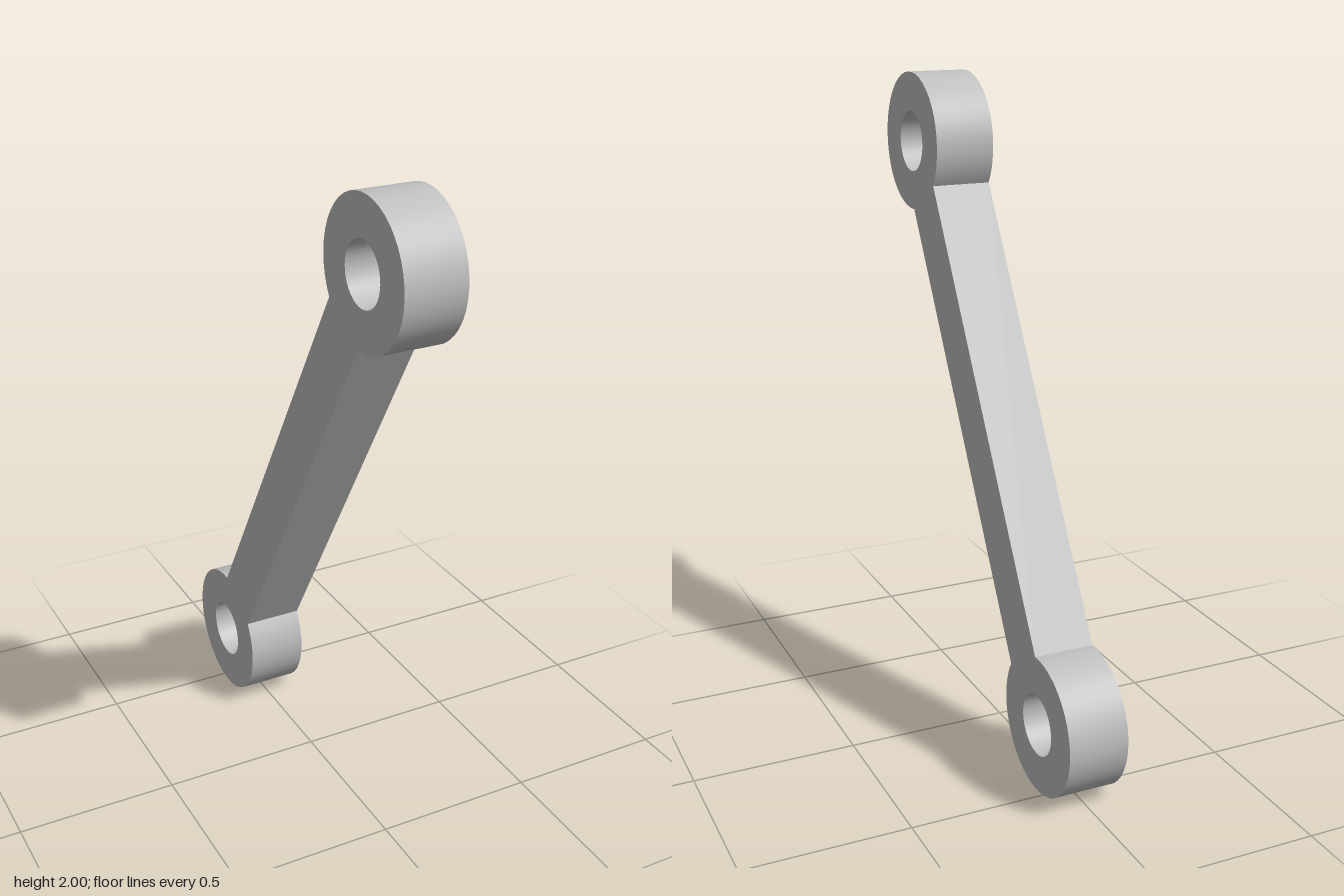
import * as THREE from 'three';
import { toCreasedNormals } from 'three/addons/utils/BufferGeometryUtils.js';

const EYE_R = 0.212;      // outer radius of the end eyes
const HOLE_R = 0.093;     // bore radius
const BAR_HALF = 0.094;   // half width of the bar
const DEPTH = 0.185;      // thickness along x
const RISE = 0.788;       // eye centre above / below the middle
const REACH = 0.463;      // eye centre in front of / behind the middle

export function createModel() {
  const group = new THREE.Group();
  group.name = 'linkRod';

  const steel = new THREE.MeshStandardMaterial({ color: 0xc0c0c0 });
  steel.name = 'light grey metal';

  // Outline of an upright link: two round eyes joined by a straight bar
  const half = Math.hypot(RISE, REACH);
  const neck = Math.asin(BAR_HALF / EYE_R);
  const outline = new THREE.Shape();
  outline.absarc(0, half, EYE_R, -Math.PI / 2 + neck, 1.5 * Math.PI - neck, false);
  outline.absarc(0, -half, EYE_R, Math.PI / 2 + neck, 2.5 * Math.PI - neck, false);
  outline.closePath();

  // Bores through both eyes
  for (const y of [half, -half]) {
    const bore = new THREE.Path();
    bore.absarc(0, y, HOLE_R, 0, Math.PI * 2, true);
    outline.holes.push(bore);
  }

  // Extrude, lean the top end forward and turn the thickness along x
  const link = new THREE.ExtrudeGeometry(outline, { depth: DEPTH, bevelEnabled: false, curveSegments: 18 });
  link.translate(0, 0, -DEPTH / 2);
  link.rotateZ(Math.atan2(REACH, RISE));
  link.rotateY(Math.PI / 2);
  link.translate(0, 1, 0);

  const mesh = new THREE.Mesh(toCreasedNormals(link, 0.5), steel);
  mesh.name = 'linkArm';
  group.add(mesh);
  return group;
}
